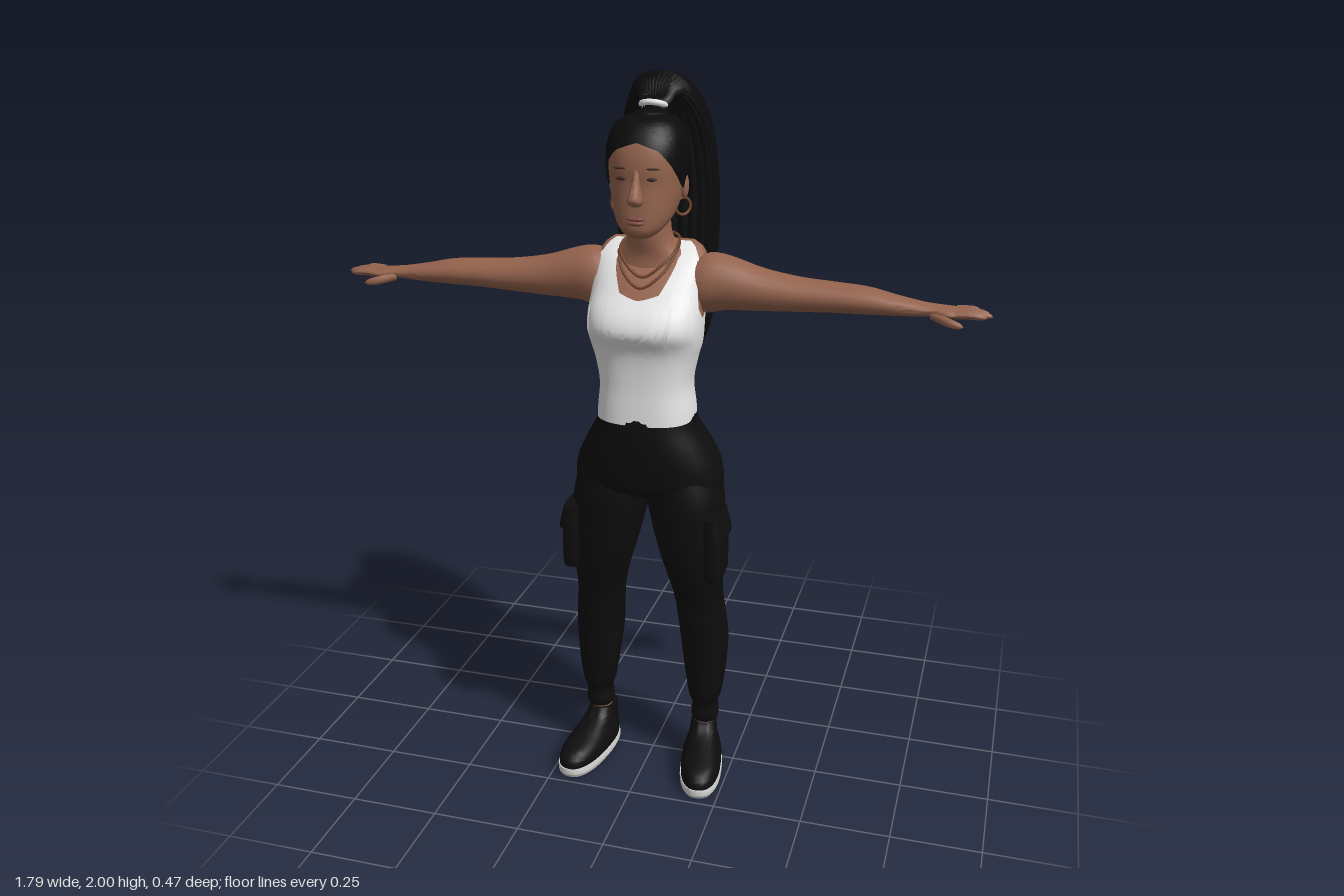
import * as THREE from 'three';
import { toCreasedNormals } from 'three/addons/utils/BufferGeometryUtils.js';

const mat = (name, color) => Object.assign(new THREE.MeshStandardMaterial({ color }), { name });

// Smooth value of column c of a profile [[t, x0, x1, z0, z1], ...] at t
function sample(profile, t, c) {
  const n = profile.length;
  let i = 0;
  while (i < n - 2 && t > profile[i + 1][0]) i++;
  const slope = (k) => {
    const a = profile[Math.max(k - 1, 0)], b = profile[Math.min(k + 1, n - 1)];
    return (b[c] - a[c]) / (b[0] - a[0]);
  };
  const p = profile[i], q = profile[i + 1], h = q[0] - p[0];
  const u = THREE.MathUtils.clamp((t - p[0]) / h, 0, 1), u2 = u * u, u3 = u2 * u;
  return (2 * u3 - 3 * u2 + 1) * p[c] + (u3 - 2 * u2 + u) * h * slope(i)
    + (3 * u2 - 2 * u3) * q[c] + (u3 - u2) * h * slope(i + 1);
}

// Linear lookup in a key table [[angle, value], ...]
function lookup(keys, a) {
  let i = 0;
  while (i < keys.length - 2 && a > keys[i + 1][0]) i++;
  const [p, q] = [keys[i], keys[i + 1]];
  return THREE.MathUtils.lerp(p[1], q[1], (a - p[0]) / (q[0] - p[0]));
}

// Upright loft of superellipse sections; lo and hi may be key tables over the angle from the front
function loft(profile, { power = 2, cols = 32, rows = 32, grow = 0, cap = true, lo, hi } = {}) {
  const first = profile[0][0], last = profile[profile.length - 1][0];
  const pos = [], index = [], start = cap ? -1 : 0, end = cap ? rows + 1 : rows;
  for (let j = start; j <= end; j++) {
    for (let i = 0; i <= cols; i++) {
      const a = ((i % cols) / cols) * Math.PI * 2;
      const deg = THREE.MathUtils.radToDeg(Math.min(a, Math.PI * 2 - a));
      const y0 = lo ? lookup(lo, deg) : first, y1 = hi ? lookup(hi, deg) : last;
      const y = THREE.MathUtils.lerp(y0, y1, THREE.MathUtils.clamp(j / rows, 0, 1));
      const [x0, x1, z0, z1] = [1, 2, 3, 4].map((c) => sample(profile, y, c));
      const k = j < 0 || j > rows ? 0 : 1;
      const bend = (v) => k * Math.sign(v) * Math.abs(v) ** (2 / power);
      pos.push((x0 + x1) / 2 + ((x1 - x0) / 2 + grow) * bend(Math.sin(a)), y,
        (z0 + z1) / 2 + ((z1 - z0) / 2 + grow) * bend(Math.cos(a)));
    }
  }
  const w = cols + 1;
  for (let j = 0; j < end - start; j++) for (let i = 0; i < cols; i++) {
    const a = j * w + i;
    index.push(a, a + 1, a + w + 1, a, a + w + 1, a + w);
  }
  const g = new THREE.BufferGeometry();
  g.setAttribute('position', new THREE.Float32BufferAttribute(pos, 3));
  g.setIndex(index);
  return toCreasedNormals(g, 0.9);
}

// Tube whose radius narrows towards its far end
function taperedTube(points, radius, steps, sides, taperFrom) {
  const curve = new THREE.CatmullRomCurve3(points.map((p) => new THREE.Vector3(...p)));
  const g = new THREE.TubeGeometry(curve, steps, radius, sides);
  const p = g.attributes.position, v = new THREE.Vector3();
  for (let i = 0; i < p.count; i++) {
    const t = Math.floor(i / (sides + 1)) / steps;
    const u = Math.max(0, (t - taperFrom) / (1 - taperFrom));
    v.fromBufferAttribute(p, i).lerp(curve.getPointAt(t), 1 - Math.sqrt(1 - u * u));
    p.setXYZ(i, v.x, v.y, v.z);
  }
  g.computeVertexNormals();
  return g;
}

const ball = (x, y, z, sx, sy, sz) => new THREE.SphereGeometry(1, 16, 10).scale(sx, sy, sz).translate(x, y, z);

// Reflected copy in x with the corner order reversed
function mirrored(geometry) {
  const g = geometry.clone().scale(-1, 1, 1);
  const order = g.index ? [...g.index.array] : Array.from({ length: g.attributes.position.count }, (_, i) => i);
  g.setIndex(order.reverse());
  return g;
}

const TORSO = [[1.09, -.13, .13, -.055, .165], [1.13, -.128, .128, -.05, .163], [1.2, -.122, .122, -.04, .16],
  [1.27, -.134, .134, -.045, .163], [1.31, -.145, .145, -.05, .172], [1.355, -.15, .15, -.055, .196],
  [1.4, -.15, .15, -.06, .182], [1.45, -.148, .148, -.063, .138], [1.5, -.148, .148, -.063, .095],
  [1.54, -.145, .145, -.055, .05], [1.562, -.13, .13, -.04, .015], [1.575, -.11, .11, -.022, -.005]];
const HEAD = [[1.603, -.028, .028, .08, .148], [1.618, -.05, .05, .05, .164], [1.65, -.073, .073, 0, .166],
  [1.69, -.086, .086, -.042, .164], [1.74, -.094, .094, -.056, .16], [1.78, -.097, .097, -.058, .162],
  [1.83, -.096, .096, -.058, .153], [1.87, -.084, .084, -.048, .13], [1.895, -.06, .06, -.025, .1], [1.908, -.02, .02, .015, .055]];
const NECK = [[1.5, -.11, .11, -.055, .085], [1.54, -.1, .1, -.055, .08], [1.565, -.072, .072, -.048, .086],
  [1.6, -.056, .056, -.042, .095], [1.68, -.054, .054, -.04, .1]];
const NOSE = [[1.688, -.011, .011, .14, .174], [1.698, -.021, .021, .14, .192], [1.712, -.018, .018, .14, .194],
  [1.74, -.012, .012, .14, .178], [1.778, -.009, .009, .14, .163]];
// Arm sections run outward: reach, low, high, back, front
const ARM = [[.1, 1.4, 1.52, -.05, .07], [.15, 1.385, 1.545, -.066, .08], [.2, 1.395, 1.542, -.068, .076],
  [.3, 1.4, 1.512, -.06, .066], [.4, 1.405, 1.495, -.055, .06], [.5, 1.41, 1.488, -.05, .057], [.58, 1.412, 1.482, -.044, .055],
  [.65, 1.415, 1.468, -.03, .05], [.72, 1.418, 1.455, -.02, .04], [.745, 1.42, 1.452, -.02, .04],
  [.78, 1.42, 1.447, -.036, .05], [.81, 1.422, 1.443, -.036, .046], [.825, 1.425, 1.44, -.033, .042]];
const PELVIS = [[.875, -.19, .19, -.06, .12], [.9, -.208, .208, -.085, .155], [.96, -.203, .203, -.103, .168],
  [1.02, -.177, .177, -.095, .172], [1.08, -.143, .143, -.07, .171], [1.115, -.132, .132, -.057, .168]];
const LEG = [[.14, .127, .2, -.033, .045], [.165, .122, .204, -.04, .056], [.195, .128, .199, -.036, .05],
  [.22, .118, .208, -.045, .064], [.3, .105, .22, -.06, .075], [.4, .092, .226, -.075, .085], [.48, .085, .222, -.06, .094],
  [.55, .077, .215, -.042, .102], [.62, .062, .215, -.04, .125], [.7, .038, .215, -.045, .142],
  [.8, .012, .215, -.06, .15], [.87, -.002, .213, -.075, .153], [.95, -.01, .195, -.085, .145]];
const SHOE = [[.026, -.058, .058, -.053, .235], [.05, -.058, .058, -.055, .23], [.07, -.052, .052, -.055, .205],
  [.088, -.043, .043, -.055, .14], [.11, -.039, .039, -.055, .07], [.132, -.036, .036, -.05, .045]];
const SOLE = [[0, -.056, .056, -.05, .23], [.012, -.061, .061, -.058, .238], [.03, -.06, .06, -.057, .238]];

const NECKLINE = [[0, 1.44], [15, 1.455], [26, 1.515], [31, 1.573], [57, 1.573], [63, 1.5], [75, 1.42], [90, 1.385],
  [105, 1.41], [118, 1.49], [124, 1.573], [148, 1.573], [152, 1.535], [165, 1.51], [180, 1.5]];
const HAIRLINE = [[0, 1.845], [30, 1.825], [50, 1.79], [75, 1.735], [110, 1.7], [180, 1.67]];

export function createModel() {
  const model = new THREE.Group();
  model.name = 'standingWoman';
  const skin = mat('skin', 0x94634d), lip = mat('lips', 0x7a4940), hair = mat('hair', 0x0b0b0c);
  const cloth = mat('blackCloth', 0x0d0d0e), white = mat('whiteCloth', 0xe6e6e6), rubber = mat('sole', 0xd8d8d6);
  const metal = mat('bronze', 0x70452d), eye = mat('eyes', 0x3a2822);
  white.side = THREE.DoubleSide;
  hair.side = THREE.DoubleSide;
  const add = (name, geometry, material) => {
    const mesh = new THREE.Mesh(geometry, material);
    mesh.name = name;
    model.add(mesh);
  };
  const pair = (name, geometry, material) => {
    add(name + 'Left', geometry, material);
    add(name + 'Right', mirrored(geometry), material);
  };

  // Body and tank top
  add('torso', loft(TORSO, { power: 2.6, cols: 48 }), skin);
  add('tankTop', loft(TORSO, { power: 2.6, cols: 120, rows: 40, grow: .004, cap: false, lo: [[0, 1.1], [180, 1.1]], hi: NECKLINE }), white);
  add('neck', loft(NECK, { cols: 28, rows: 16 }), skin);

  // Head and face
  add('head', loft(HEAD, { power: 2.3 }), skin);
  add('nose', loft(NOSE, { cols: 14, rows: 12 }), skin);
  add('upperLip', ball(0, 1.657, .166, .026, .006, .012), lip);
  add('lowerLip', ball(0, 1.646, .166, .023, .007, .012), lip);
  pair('eye', ball(.038, 1.756, .153, .016, .005, .006), eye);
  pair('eyebrow', ball(.04, 1.782, .154, .022, .003, .006), eye);
  pair('ear', ball(.096, 1.725, .04, .01, .033, .02), skin);
  pair('hoopEarring', new THREE.TorusGeometry(.022, .004, 8, 24).rotateY(.8).translate(.092, 1.672, .04), metal);

  // Necklaces
  [0, .025].forEach((rise, i) => {
    const half = [[.05, 1.5 + rise, .105 - rise * .5], [.076, 1.55 + rise * .3, .05], [.058, 1.58, -.035]];
    const points = [[0, 1.468 + rise, .127 - rise * .8], ...half, [0, 1.585, -.055], ...half.map(([x, y, z]) => [-x, y, z]).reverse()];
    const curve = new THREE.CatmullRomCurve3(points.map((p) => new THREE.Vector3(...p)), true);
    add('necklace' + i, new THREE.TubeGeometry(curve, 60, .004, 6, true), metal);
  });

  // Hair swept back, tie and ponytail of braids
  add('hairCap', loft(HEAD, { power: 2.3, cols: 64, rows: 20, grow: .007, cap: false, lo: HAIRLINE, hi: [[0, 1.908], [180, 1.908]] }), hair);
  add('hairCrown', ball(0, 1.902, .03, .045, .013, .05), hair);
  add('hairTie', new THREE.TorusGeometry(.031, .008, 8, 24).rotateX(Math.PI / 2 - .35).translate(0, 1.92, -.002), white);
  add('ponytailCore', loft([[1.12, -.02, .02, -.13, -.1], [1.3, -.11, .11, -.19, -.1], [1.5, -.125, .125, -.21, -.09],
    [1.72, -.125, .125, -.205, -.09], [1.86, -.1, .1, -.17, -.08], [1.96, -.04, .04, -.11, -.04]]), hair);
  const braids = 28;
  for (let i = 0; i < braids; i++) {
    const a = (i / braids) * Math.PI * 2, c = Math.cos(a), d = Math.sin(a), drop = .03 * ((i * 7) % 5) / 4;
    add('braid' + i, taperedTube([[.022 * c, 1.912, -.004 - .02 * d], [.05 * c, 1.96 + .026 * d, -.05],
      [.098 * c, 1.895 + .05 * d, -.12 - .04 * d], [.127 * c, 1.72, -.152 - .062 * d], [.127 * c, 1.5, -.152 - .063 * d],
      [.11 * c, 1.31, -.143 - .05 * d], [.05 * c, 1.17, -.12 - .026 * d], [.014 * c, 1.08 + drop, -.108]], .0145, 36, 7, .8), hair);
  }

  // Arms, fingers and thumbs, built on the right and mirrored
  const right = (name, geometry) => {
    add(name + 'Right', geometry, skin);
    add(name + 'Left', mirrored(geometry), skin);
  };
  right('arm', loft(ARM, { cols: 24, rows: 40 }).rotateZ(Math.PI / 2));
  [.865, .887, .894, .88].forEach((tip, i) => {
    const z = -.026 + i * .021;
    right('finger' + i, taperedTube([[-.8, 1.433, z], [-.84, 1.435, z * .95 + .001], [-tip, 1.43, z * .85 + .002]], .0105, 12, 8, .6));
  });
  right('thumb', taperedTube([[-.745, 1.427, .03], [-.785, 1.418, .055], [-.825, 1.41, .066]], .012, 12, 8, .5));

  // Trousers with cargo pockets
  add('trouserHips', loft(PELVIS, { power: 2.3, cols: 40 }), cloth);
  pair('trouserLeg', loft(LEG, { power: 2.2, rows: 48 }), cloth);
  pair('cargoPocket', loft([[.645, .185, .226, .015, .14], [.66, .18, .23, .01, .146], [.8, .18, .228, .01, .15], [.825, .185, .222, .015, .148]],
    { power: 4, cols: 28, rows: 12 }), cloth);
  pair('pocketFlap', loft([[.77, .18, .237, .003, .155], [.785, .18, .235, .003, .155], [.837, .18, .222, .006, .152]],
    { power: 4, cols: 28, rows: 8 }), cloth);

  // Ankles and shoes, toes turned out
  pair('ankle', new THREE.CylinderGeometry(.033, .033, .08, 20).translate(.162, .13, .004), skin);
  const place = (g) => g.rotateY(.17).translate(.158, 0, 0);
  pair('shoe', place(loft(SHOE, { power: 2.4, rows: 20 })), cloth);
  pair('shoeSole', place(loft(SOLE, { power: 2.4, rows: 6 })), rubber);
  return model;
}
